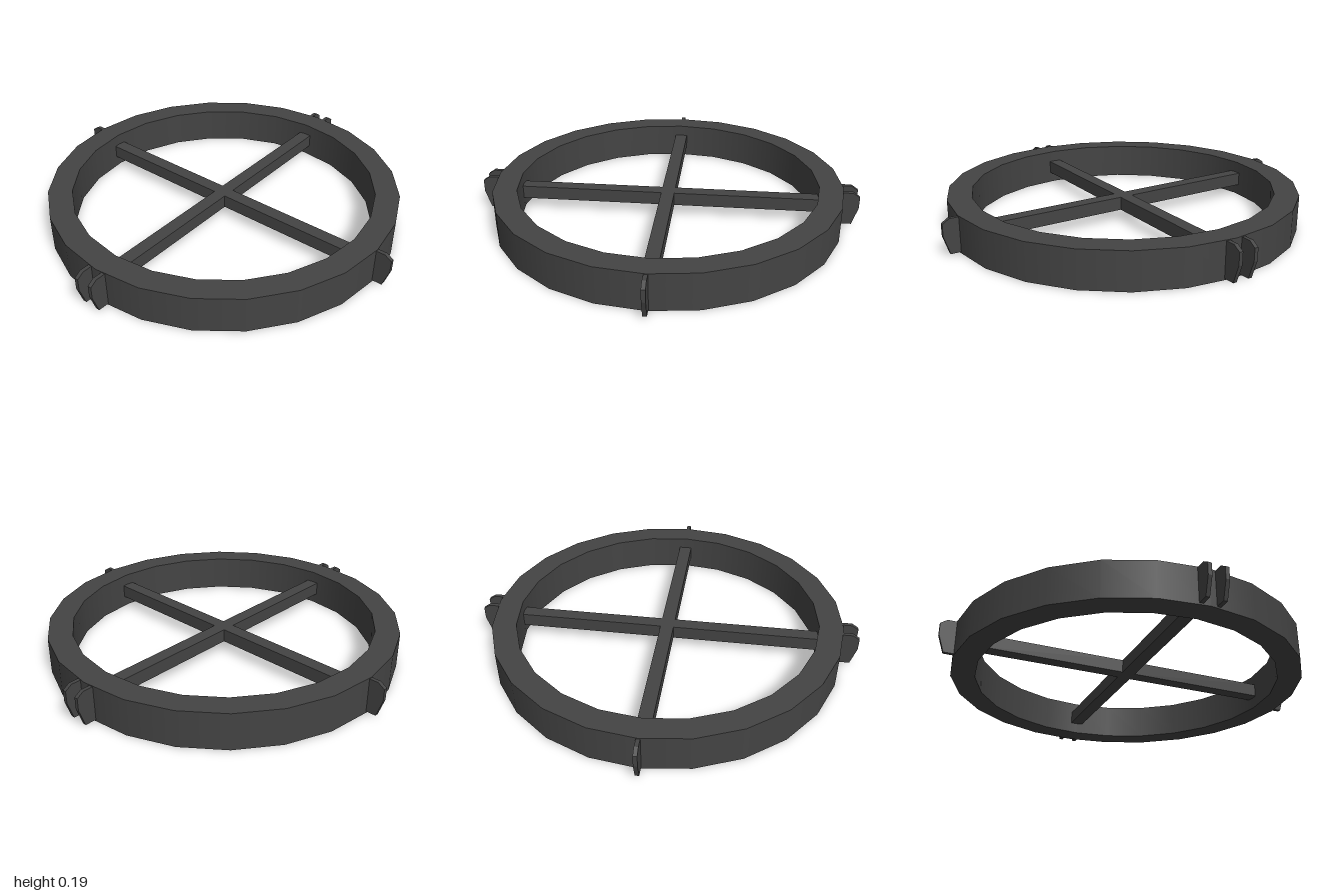
import * as THREE from 'three';
import { mergeGeometries } from 'three/addons/utils/BufferGeometryUtils.js';

const SIDES = 24, OUTER = 0.92, INNER = 0.795, HEIGHT = 0.19;

export function createModel() {
  const group = new THREE.Group();
  const darkGrey = new THREE.MeshStandardMaterial({ color: 0x444444 });
  darkGrey.name = 'darkGrey';

  const add = (name, geometry) => {
    const mesh = new THREE.Mesh(geometry, darkGrey);
    mesh.name = name;
    group.add(mesh);
    return mesh;
  };

  // Rim: one lathe per side of the section, so walls are smooth and edges sharp
  const section = [[OUTER, 0], [OUTER, HEIGHT], [INNER, HEIGHT], [INNER, 0]]
    .map(([r, y]) => new THREE.Vector2(r, y));
  add('rim', mergeGeometries(section.map((p, i) =>
    new THREE.LatheGeometry([p, section[(i + 1) % 4]], SIDES))));

  // Crossed bars: one long, two halves meeting it
  const bar = 0.07, barY = 0.095;
  add('longBar', new THREE.BoxGeometry(bar, bar, INNER * 2)).position.y = barY;
  const half = INNER - bar / 2;
  for (const s of [-1, 1]) {
    add(s > 0 ? 'leftBar' : 'rightBar', new THREE.BoxGeometry(half, bar, bar))
      .position.set(s * (bar / 2 + half / 2), barY, 0);
  }

  // Fins: chamfered plates standing out from the rim
  const thick = 0.02;
  const profile = new THREE.Shape([
    [0.91, 0.008], [0.97, 0.008], [1, 0.1], [1, 0.163], [0.965, 0.186], [0.91, 0.186],
  ].map(([x, y]) => new THREE.Vector2(x, y)));
  const finGeometry = new THREE.ExtrudeGeometry(profile, { depth: thick, bevelEnabled: false });
  finGeometry.translate(0, 0, -thick / 2);

  const addFin = (name, angle, offset) => {
    const fin = add(name, finGeometry);
    fin.rotation.y = angle;
    fin.position.x = offset;
  };
  addFin('leftFin', 0, 0);
  addFin('rightFin', Math.PI, 0);
  for (const x of [-0.043, 0.043]) {
    addFin('frontFin', -Math.PI / 2, x);
    addFin('backFin', Math.PI / 2, x);
  }
  return group;
}
